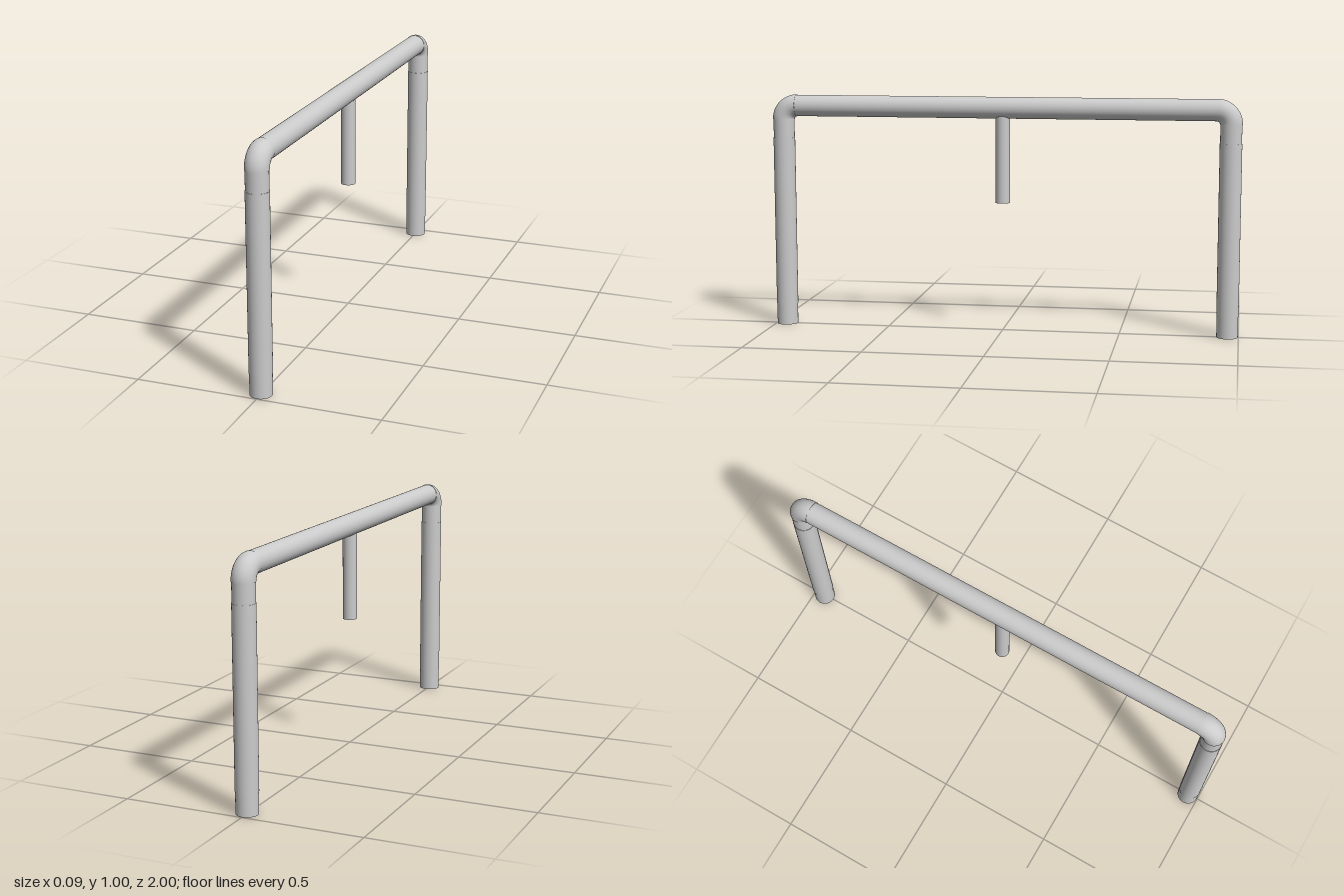
import * as THREE from 'three';

const material = new THREE.MeshStandardMaterial({ color: 0xcccccc });

const AXIS = 0.953;   // centre line of legs (z) and rail (y)
const BEND = 0.058;   // elbow bend radius
const JOINT = AXIS - BEND;

function rod(name, radius, y0, y1, z) {
  const mesh = new THREE.Mesh(new THREE.CylinderGeometry(radius, radius, y1 - y0, 48), material);
  mesh.name = name;
  mesh.position.set(0, (y0 + y1) / 2, z);
  return mesh;
}

// One leg with its sleeve and the elbow that turns it into the rail
function createEnd(name) {
  const end = new THREE.Group();
  end.name = name;
  end.add(rod('post', 0.0448, 0, JOINT, AXIS));
  end.add(rod('postSleeve', 0.0462, 0.09, 0.815, AXIS));

  // Quarter torus turned from the xy plane into the zy plane
  const elbow = new THREE.Mesh(new THREE.TorusGeometry(BEND, 0.047, 32, 24, Math.PI / 2), material);
  elbow.name = 'elbow';
  elbow.rotation.y = -Math.PI / 2;
  elbow.position.set(0, JOINT, JOINT);
  end.add(elbow);

  // Thin end rings close the step between elbow and pipes
  const lowerRing = new THREE.Mesh(new THREE.CircleGeometry(0.047, 48), material);
  lowerRing.name = 'elbowLowerFace';
  lowerRing.rotation.x = Math.PI / 2;
  lowerRing.position.set(0, JOINT, AXIS);
  const innerRing = new THREE.Mesh(new THREE.CircleGeometry(0.047, 48), material);
  innerRing.name = 'elbowInnerFace';
  innerRing.rotation.y = Math.PI;
  innerRing.position.set(0, AXIS, JOINT);
  end.add(lowerRing, innerRing);
  return end;
}

export function createModel() {
  const model = new THREE.Group();
  model.name = 'railFrame';

  const front = createEnd('frontLeg');
  const back = createEnd('backLeg');
  back.rotation.y = Math.PI;
  model.add(front, back);

  // Horizontal top rail
  const rail = rod('topRail', 0.0455, -JOINT, JOINT, 0);
  rail.rotation.x = Math.PI / 2;
  rail.position.set(0, AXIS, 0);
  model.add(rail);

  // Short stub hanging under the middle of the rail
  model.add(rod('centreStub', 0.03, 0.55, 0.925, 0));
  return model;
}
